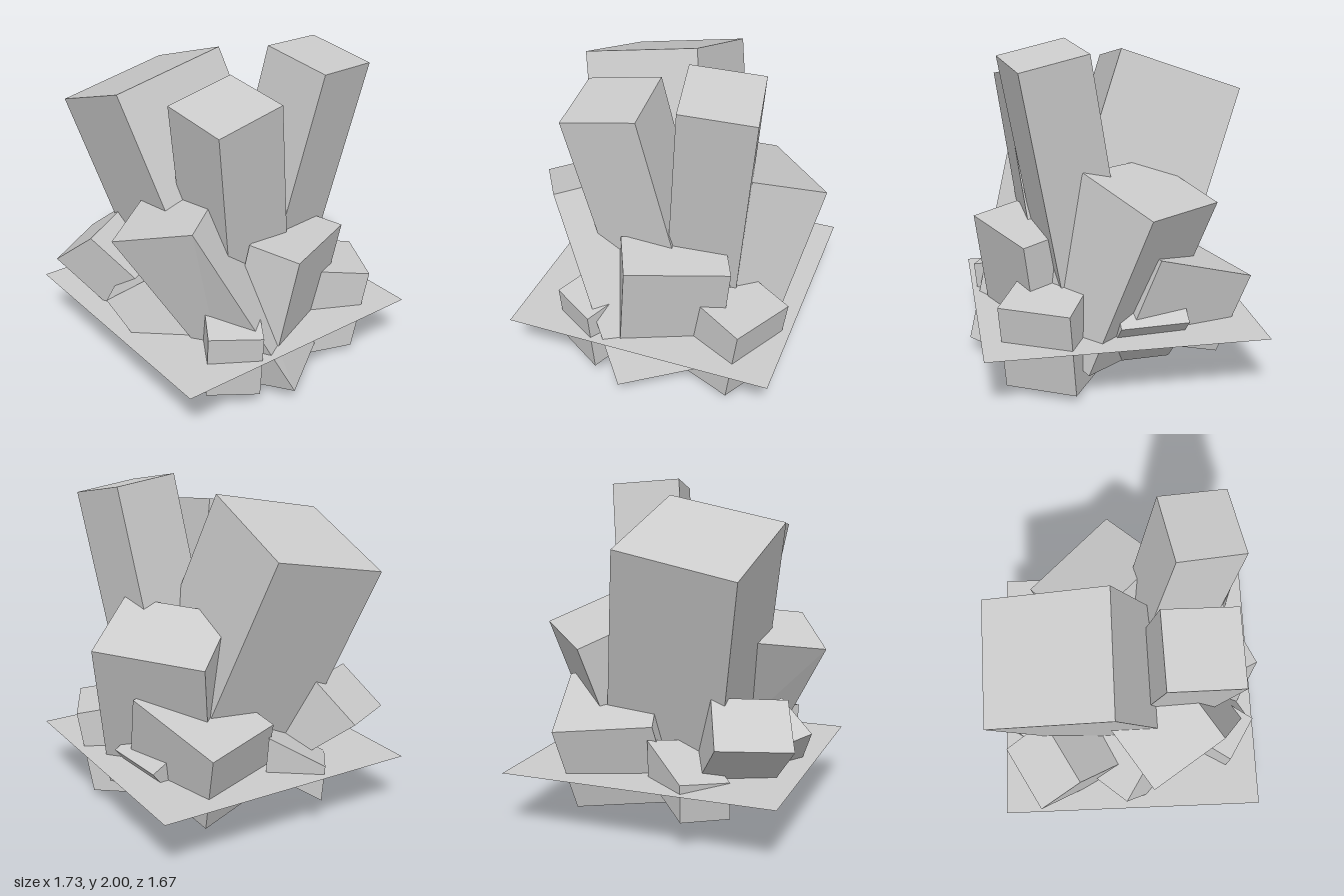
import * as THREE from 'three';

const material = new THREE.MeshStandardMaterial({ color: 0xcccccc, flatShading: true, side: THREE.DoubleSide });
const V = (a) => new THREE.Vector3(...a);

// A leaning hollow block, open underneath: one top corner, two top edges,
// the edge running down, and optionally different edges for the lower rim.
function block(name, corner, u, v, down, u2 = u, v2 = v) {
  const P = V(corner), D = V(down);
  let U = V(u), W = V(v), U2 = V(u2), W2 = V(v2);
  // keep the corner order right-handed so that faces point outward
  if (U.clone().cross(W).dot(D) < 0) {
    [U, W] = [W, U];
    [U2, W2] = [W2, U2];
  }
  const box = new THREE.BoxGeometry(1, 1, 1);
  box.setIndex([...box.index.array].filter((_, i) => i < 18 || i >= 24)); // drop the bottom
  box.clearGroups();
  const geometry = box.toNonIndexed();
  const pos = geometry.attributes.position;
  for (let i = 0; i < pos.count; i++) {
    const s = pos.getX(i) + 0.5, t = pos.getZ(i) + 0.5, top = pos.getY(i) > 0;
    const p = P.clone();
    if (!top) p.add(D);
    p.addScaledVector(top ? U : U2, s).addScaledVector(top ? W : W2, t);
    pos.setXYZ(i, p.x, p.y, p.z);
  }
  geometry.computeVertexNormals();
  const mesh = new THREE.Mesh(geometry, material);
  mesh.name = name;
  return mesh;
}

export function createModel() {
  const group = new THREE.Group();
  group.name = 'blockCluster';

  // Thin square ground sheet that the cluster grows through
  const ground = new THREE.Mesh(new THREE.PlaneGeometry(1.64, 1.635).rotateX(-Math.PI / 2), material);
  ground.name = 'groundSheet';
  ground.position.set(-0.015, 0.348, -0.022);
  group.add(ground);

  group.add(
    // Tall columns
    block('tallColumnLeft', [0.125, 2.0, 0.24], [0.075, -0.08, 0.395], [0.415, -0.035, -0.08], [-0.22, -1.8, -0.33]),
    block('tallColumnRight', [-0.51, 1.765, 0.165], [0.44, 0.08, -0.015], [0.02, -0.055, 0.435], [0.29, -1.61, -0.215]),
    block('bigBackColumn', [0.045, 1.92, -0.11], [-0.705, -0.14, 0], [0.055, -0.25, -0.715], [0.29, -1.39, 0.51]),
    // Medium leaning blocks
    block('leftBlock', [0.865, 1.115, -0.12], [-0.445, -0.052, -0.49], [-0.37, 0.185, 0.316], [-0.228, -0.987, 0.31]),
    block('rightBlock', [-0.61, 1.16, 0.52], [-0.255, -0.14, -0.42], [0.375, 0.06, -0.254], [0.5, -1.075, 0.31],
      [-0.225, -0.035, -0.4], [0.4, 0.02, -0.27]),
    block('frontBlock', [-0.065, 0.91, 0.78], [0.555, -0.035, -0.245], [-0.135, 0.04, -0.28], [-0.1, -0.78, -0.1]),
    // Low blocks around the rim
    block('frontLeftBlock', [0.59, 0.57, 0.70], [0.195, -0.005, -0.38], [-0.395, 0.066, -0.2], [-0.075, -0.52, -0.045],
      [0.195, -0.005, -0.38], [-0.395, -0.045, -0.2]),
    block('frontRightBlock', [-0.58, 0.52, 0.615], [0.27, -0.015, 0.165], [0.17, 0.07, -0.28], [0.01, -0.41, -0.04]),
    block('backLeftBlock', [0.49, 0.62, -0.81], [0.175, 0.195, 0.59], [-0.53, 0.03, 0.2], [-0.06, -0.5, 0.18]),
    block('backRightBlock', [-0.865, 0.59, -0.595], [0.385, 0.03, -0.215], [0.11, 0.22, 0.255], [0.2, -0.29, 0.3]),
    block('rightRimBlock', [-0.83, 0.54, -0.06], [0.23, 0.157, 0.16], [0.25, -0.08, -0.28], [0.185, -0.435, 0.29]),
    block('backRimBlock', [-0.28, 0.40, -0.80], [0.27, 0.17, 0.19], [-0.2, -0.05, 0.27], [0.005, -0.225, 0.02]),
    block('leftRimBlock', [0.64, 0.415, -0.4], [0.04, 0.005, 0.41], [-0.25, 0.15, 0], [-0.25, -0.32, 0.06])
  );
  return group;
}
